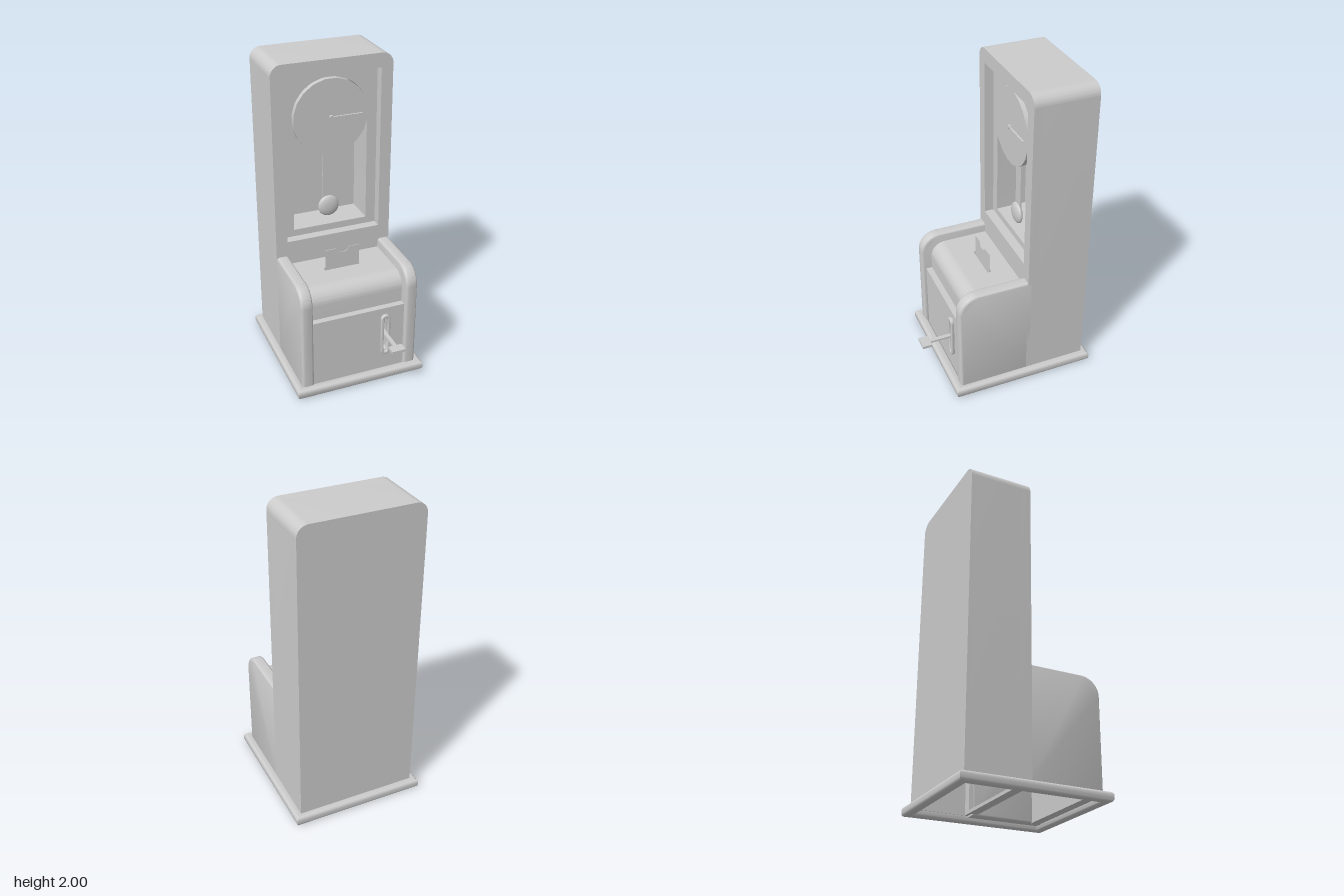
import * as THREE from 'three';
import { toCreasedNormals } from 'three/addons/utils/BufferGeometryUtils.js';

const material = new THREE.MeshStandardMaterial({ color: 0xcccccc });

export function createModel() {
  const group = new THREE.Group();

  const add = (name, geometry, x = 0, y = 0, z = 0) => {
    const mesh = new THREE.Mesh(geometry, material);
    mesh.name = name;
    mesh.position.set(x, y, z);
    group.add(mesh);
    return mesh;
  };
  const box = (name, w, h, d, x, y, z) => add(name, new THREE.BoxGeometry(w, h, d), x, y, z);

  // Extrusion; a bevel stays inside the given depth and outline
  const extrude = (shape, depth, bevel = 0, curveSegments = 10) => {
    const geometry = new THREE.ExtrudeGeometry(shape, {
      depth: depth - 2 * bevel, curveSegments,
      bevelEnabled: bevel > 0, bevelSize: bevel, bevelThickness: bevel,
      bevelOffset: -bevel, bevelSegments: 4,
    });
    geometry.translate(0, 0, bevel);
    return toCreasedNormals(geometry, 0.6);
  };
  const rect = (x0, y0, x1, y1, Type = THREE.Path) => new Type().moveTo(x0, y0).lineTo(x1, y0)
    .lineTo(x1, y1).lineTo(x0, y1).closePath();
  // Rectangle with rounded top corners
  const caseOutline = (Type, w, y0, y1, r) => new Type().moveTo(-w, y0).lineTo(w, y0).lineTo(w, y1 - r)
    .absarc(w - r, y1 - r, r, 0, Math.PI / 2).lineTo(-w + r, y1)
    .absarc(-w + r, y1 - r, r, Math.PI / 2, Math.PI).closePath();
  // Upright slot with round ends
  const slotOutline = (Type, x, y0, y1, r) => new Type().moveTo(x + r, y0 + r).lineTo(x + r, y1 - r)
    .absarc(x, y1 - r, r, 0, Math.PI).lineTo(x - r, y0 + r)
    .absarc(x, y0 + r, r, Math.PI, 2 * Math.PI).closePath();

  // Plinth, a rounded frame open underneath
  const plinth = rect(-0.427, -0.39, 0.427, 0.54, THREE.Shape);
  plinth.holes.push(rect(-0.37, -0.33, 0.37, 0.48));
  add('plinth', extrude(plinth, 0.06, 0.02).rotateX(-Math.PI / 2));

  // Tall case: hollow shell, back board and front frame
  const shell = new THREE.Shape().moveTo(0.385, 0.04).lineTo(0.385, 1.93)
    .absarc(0.315, 1.93, 0.07, 0, Math.PI / 2).lineTo(-0.315, 2)
    .absarc(-0.315, 1.93, 0.07, Math.PI / 2, Math.PI).lineTo(-0.385, 0.04).lineTo(-0.365, 0.04)
    .lineTo(-0.365, 1.93).absarc(-0.315, 1.93, 0.05, Math.PI, Math.PI / 2, true)
    .lineTo(0.315, 1.98).absarc(0.315, 1.93, 0.05, Math.PI / 2, 0, true).lineTo(0.365, 0.04).closePath();
  add('caseShell', extrude(shell, 0.32), 0, 0, -0.48);
  add('backBoard', extrude(caseOutline(THREE.Shape, 0.385, 0.04, 2, 0.07), 0.02), 0, 0, -0.5);
  const frame = caseOutline(THREE.Shape, 0.385, 0.04, 2, 0.07);
  frame.holes.push(rect(-0.31, 0.85, 0.31, 1.91), rect(-0.31, 0.06, 0.31, 0.66));
  add('frontFrame', extrude(frame, 0.06), 0, 0, -0.16);

  // Clock compartment with an arched opening
  const panel = rect(-0.34, 0.83, 0.34, 1.93, THREE.Shape);
  panel.holes.push(new THREE.Path().moveTo(-0.245, 0.895).lineTo(0.245, 0.895).lineTo(0.245, 1.63)
    .absarc(0, 1.63, 0.245, 0, Math.PI).closePath());
  add('archedPanel', extrude(panel, 0.2), 0, 0, -0.36);
  box('compartmentBack', 0.68, 1.1, 0.01, 0, 1.38, -0.365);

  // Dial, hands and pendulum
  const disc = (r, depth, sides) => toCreasedNormals(
    new THREE.CylinderGeometry(r, r, depth, sides).rotateX(Math.PI / 2).rotateZ(Math.PI / sides), 0.6);
  add('dial', disc(0.242, 0.035, 20), 0, 1.63, -0.1525);
  add('handHub', disc(0.013, 0.02, 12), 0, 1.63, -0.128);
  box('minuteHand', 0.2, 0.005, 0.012, 0.1, 1.63, -0.128);
  box('pendulumRod', 0.07, 0.42, 0.01, 0, 1.25, -0.2);
  add('pendulumBob', new THREE.SphereGeometry(0.07, 24, 16).scale(1, 1, 0.35), 0, 1.01, -0.19);

  // Side cheeks of the desk, rounded at the top front
  const cheek = new THREE.Shape().moveTo(-0.14, 0.03).lineTo(0.35, 0.03).lineTo(0.35, 0.63)
    .absarc(0.23, 0.63, 0.12, 0, Math.PI / 2).lineTo(-0.14, 0.75).closePath();
  for (const side of [1, -1]) {
    const geometry = extrude(cheek, 0.078, 0.018).rotateY(-Math.PI / 2);
    add(side > 0 ? 'leftCheek' : 'rightCheek', geometry, side > 0 ? 0.385 : -0.307);
  }

  // Desk top with card slot, and its curved front
  const desk = rect(-0.32, -0.19, 0.32, 0.12, THREE.Shape);
  desk.holes.push(rect(-0.12, -0.058, 0.117, -0.03));
  add('deskTop', extrude(desk, 0.02).rotateX(-Math.PI / 2), 0, 0.67, 0);
  const curve = new THREE.Shape().moveTo(0.285, 0.48).lineTo(0.285, 0.595)
    .absarc(0.19, 0.595, 0.095, 0, Math.PI / 2).lineTo(0.19, 0.67)
    .absarc(0.19, 0.595, 0.075, Math.PI / 2, 0, true).lineTo(0.265, 0.48).closePath();
  add('deskFront', extrude(curve, 0.64).rotateY(-Math.PI / 2), 0.32);

  // Notched time card
  const card = new THREE.Shape().moveTo(-0.113, 0.62).lineTo(0.113, 0.62).lineTo(0.113, 0.825)
    .lineTo(0.045, 0.825).lineTo(0.035, 0.805).quadraticCurveTo(0, 0.78, -0.035, 0.805)
    .lineTo(-0.045, 0.825).lineTo(-0.113, 0.825).closePath();
  add('card', extrude(card, 0.004), 0, 0, 0.043);

  // Front panel with lever slot and raised surround
  const front = rect(-0.32, 0.03, 0.32, 0.5, THREE.Shape);
  front.holes.push(slotOutline(THREE.Path, 0.178, 0.185, 0.43, 0.015));
  add('frontPanel', extrude(front, 0.06), 0, 0, 0.265);
  const surround = slotOutline(THREE.Shape, 0.178, 0.157, 0.457, 0.031);
  surround.holes.push(slotOutline(THREE.Path, 0.178, 0.178, 0.436, 0.012));
  add('slotSurround', extrude(surround, 0.024, 0.006), 0, 0, 0.321);

  // Lever
  box('leverArm', 0.025, 0.014, 0.24, 0.178, 0.312, 0.37);
  box('leverGrip', 0.09, 0.018, 0.06, 0.178, 0.312, 0.51);

  return group;
}
